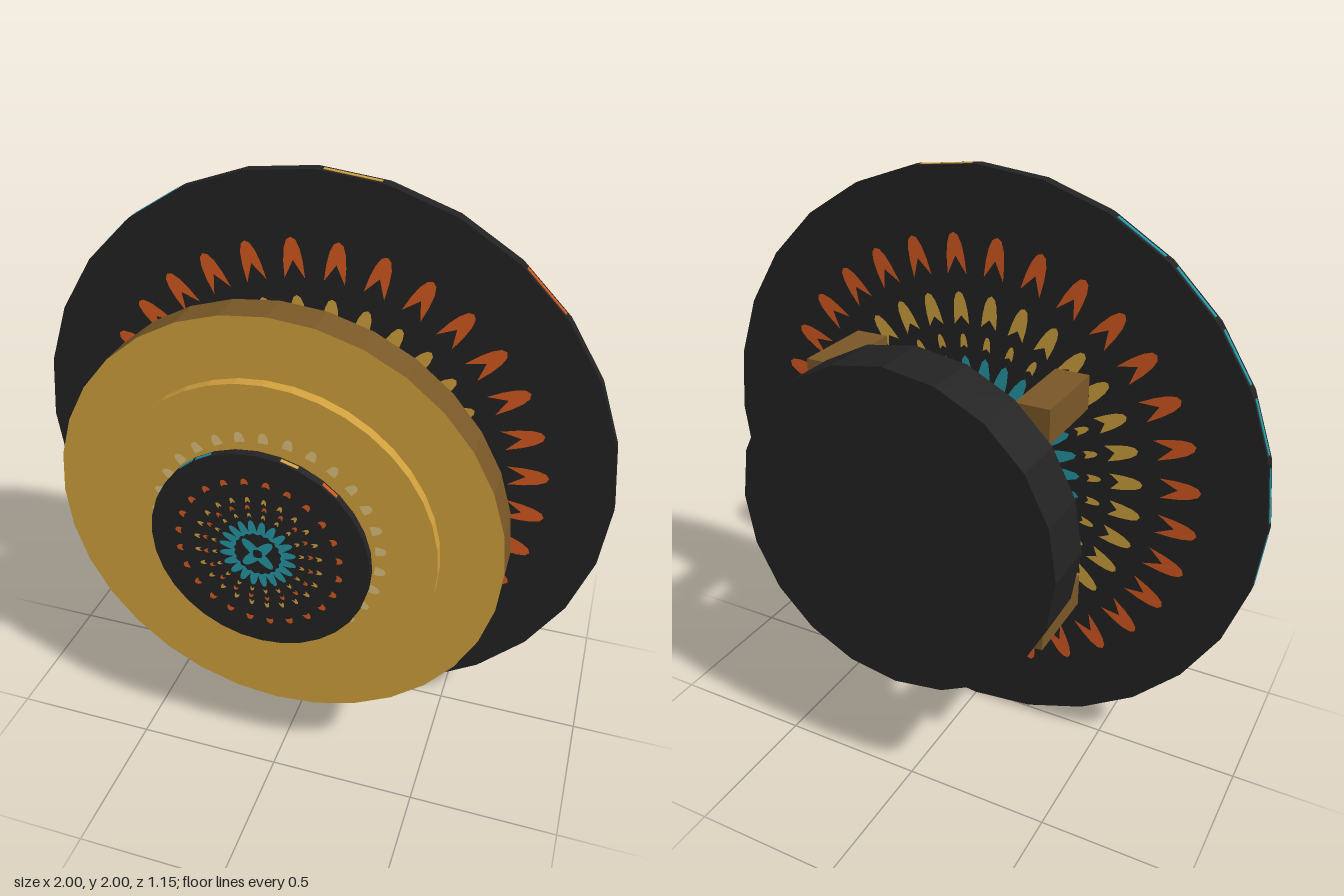
import * as THREE from 'three';

const mat = (name, color) => {
  const m = new THREE.MeshStandardMaterial({ color });
  m.name = name;
  return m;
};

export function createModel() {
  const black = mat('black', 0x222222);
  const gold = mat('gold', 0xd0a03d);
  const brown = mat('brown', 0x7a5827);
  const orange = mat('orange', 0xd4581f);
  const teal = mat('teal', 0x2496a5);
  const cream = mat('cream', 0xdcc27c);

  // Everything is built around the wheel axis, then raised
  const model = new THREE.Group();
  model.name = 'layeredWheel';
  const wheel = new THREE.Group();
  wheel.name = 'wheel';
  wheel.position.y = 1;
  model.add(wheel);

  const add = (parent, name, geometry, material, z = 0) => {
    const mesh = new THREE.Mesh(geometry, material);
    mesh.name = name;
    mesh.position.z = z;
    parent.add(mesh);
    return mesh;
  };

  // Faceted disc facing z, from z0 to z1
  const disc = (name, r, z0, z1, sides, material) => {
    const g = new THREE.CylinderGeometry(r, r, z1 - z0, sides).rotateX(Math.PI / 2).toNonIndexed();
    g.computeVertexNormals();
    return add(wheel, name, g, material, (z0 + z1) / 2);
  };

  // Ring of petals with rounded tips and notched feet
  const petalRing = (count, inner, outer, half, notch, scale = 1) => {
    const shapes = [];
    for (let i = 0; i < count; i++) {
      const a = ((i + 0.5) / count) * Math.PI * 2;
      const at = (side, r) => [
        scale * (r * Math.cos(a) - side * Math.sin(a)),
        scale * (r * Math.sin(a) + side * Math.cos(a)),
      ];
      const s = new THREE.Shape();
      const len = outer - inner;
      s.moveTo(...at(0, inner + notch));
      s.lineTo(...at(-half, inner));
      s.bezierCurveTo(...at(-half, inner + len * 0.6), ...at(-half * 0.7, outer), ...at(0, outer));
      s.bezierCurveTo(...at(half * 0.7, outer), ...at(half, inner + len * 0.6), ...at(half, inner));
      // Winding must stay counter-clockwise
      shapes.push(s);
    }
    return new THREE.ShapeGeometry(shapes, 4);
  };

  // Both faces of a disc get the same painted rows
  const paintFaces = (name, rows, scale, zFront, zBack) => {
    for (const side of ['front', 'back']) {
      const face = new THREE.Group();
      face.name = `${name}_${side}`;
      face.position.z = side === 'front' ? zFront + 0.003 : zBack - 0.003;
      if (side === 'back') face.rotation.y = Math.PI;
      for (const [row, material, count, inner, outer, half, notch] of rows) {
        add(face, row, petalRing(count, inner, outer, half, notch, scale), material);
      }
      wheel.add(face);
    }
  };

  // Painted dashes on a disc's rim: [angle in facets, material]
  const paintRim = (name, r, z, depth, sides, dashes) => {
    const step = (Math.PI * 2) / sides;
    for (const [facet, material] of dashes) {
      const a = (facet + 0.5) * step;
      const g = new THREE.BoxGeometry(0.004, r * step * 0.8, depth);
      const m = add(wheel, name, g, material, z);
      const d = r * Math.cos(step / 2);
      m.position.set(d * Math.cos(a), d * Math.sin(a), z);
      m.rotation.z = a;
    }
  };

  // Large thin main disc with three rows of petals
  disc('mainDisc', 1, -0.02, 0.02, 28, black);
  paintFaces('mainPetals', [
    ['orangePetals', orange, 32, 0.655, 0.79, 0.034, 0.06],
    ['goldPetals', gold, 32, 0.49, 0.6, 0.027, 0.03],
    ['goldSpecks', gold, 32, 0.41, 0.46, 0.013, 0.01],
    ['tealPetals', teal, 32, 0.2, 0.385, 0.026, 0.04],
  ], 1, 0.02, -0.02);
  paintRim('mainRimDash', 1, 0, 0.014, 28, [
    [9, teal], [10, teal], [11, teal], [12, teal], [13, teal], [14, teal],
    [6, gold], [3, orange], [24, orange],
  ]);

  // Front gold plates
  disc('largeGoldPlate', 0.72, 0.335, 0.45, 32, [brown, gold, gold]);
  disc('smallGoldPlate', 0.533, 0.465, 0.5, 40, gold);
  add(wheel, 'creamBeads', petalRing(30, 0.345, 0.38, 0.016, 0), cream, 0.503);

  // Small patterned centre disc
  disc('centreDisc', 0.348, 0.548, 0.575, 32, black);
  paintFaces('centrePattern', [
    ['orangeDots', orange, 24, 0.71, 0.77, 0.034, 0.01],
    ['goldOuterSpecks', gold, 24, 0.53, 0.59, 0.022, 0.02],
    ['orangeSpecks', orange, 20, 0.46, 0.51, 0.022, 0.02],
    ['goldInnerSpecks', gold, 20, 0.38, 0.43, 0.018, 0.02],
    ['tealRing', teal, 20, 0.2, 0.355, 0.038, 0.02],
    ['tealHub', teal, 4, 0.02, 0.19, 0.05, 0.03],
  ], 0.348, 0.575, 0.548);
  paintRim('centreRimDash', 0.348, 0.5615, 0.012, 32, [
    [10, teal], [11, teal], [13, teal], [14, teal], [6, gold], [4, orange], [28, orange],
  ]);

  // Rear hub, four spacer blocks and back drum
  disc('rearHub', 0.39, -0.34, -0.185, 20, black);
  for (const x of [-1, 1]) {
    for (const y of [-1, 1]) {
      const block = add(wheel, 'spacerBlock', new THREE.BoxGeometry(0.113, 0.113, 0.29), brown, -0.217);
      block.position.x = x * 0.363;
      block.position.y = y * 0.363;
    }
  }
  disc('backDrum', 0.547, -0.575, -0.39, 20, black);

  return model;
}
